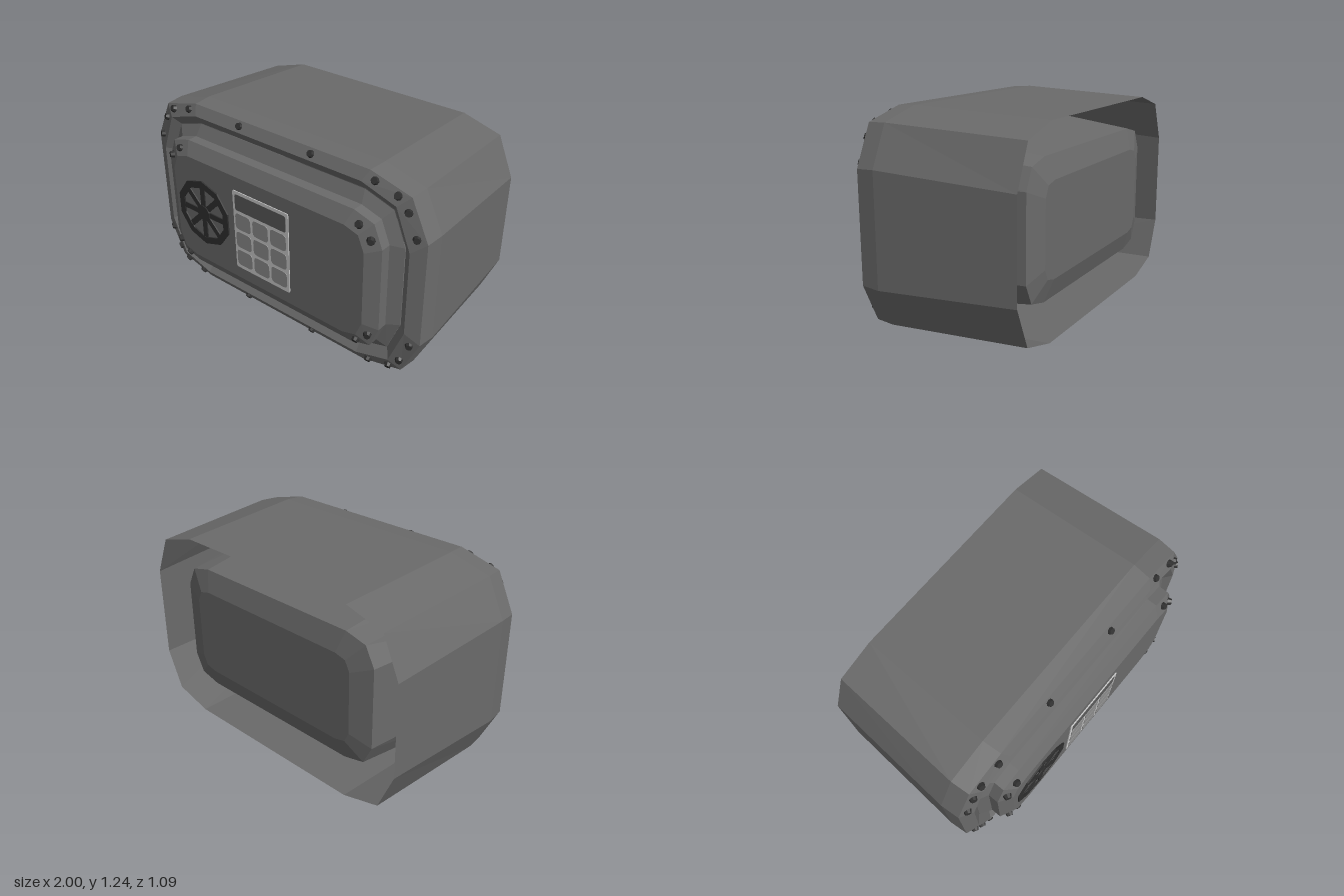
import * as THREE from 'three';

const CY = 0.624; // height of the centre line

const mat = (color, side = THREE.FrontSide) =>
  new THREE.MeshStandardMaterial({ color, flatShading: true, side });
const bodyMat = mat(0x6a6a6a, THREE.DoubleSide);
const darkMat = mat(0x303030);
const frameMat = mat(0xcccccc);
const keyMat = mat(0x8c8c8c);
const screenMat = mat(0x5a5a5a);

// Twelve-sided rounded rectangle: half sizes, corner cuts, depth
function loop([hx, hy, cx, cy, z]) {
  const q = [[hx, hy - cy], [hx - 0.3 * cx, hy - 0.22 * cy], [hx - cx, hy]];
  const r = [...q].reverse();
  return [
    ...q,
    ...r.map(([x, y]) => [-x, y]),
    ...q.map(([x, y]) => [-x, -y]),
    ...r.map(([x, y]) => [x, -y]),
  ].map(([x, y]) => [x, y + CY, z]);
}

// Skin through loops, optionally closed by a flat cap at the first or last one
function loft(sections, cap) {
  const loops = sections.map(loop);
  const pos = [];
  const tri = (a, b, c) => pos.push(...a, ...b, ...c);
  for (let k = 0; k < loops.length - 1; k++) {
    const a = loops[k], b = loops[k + 1];
    for (let i = 0; i < a.length; i++) {
      const j = (i + 1) % a.length;
      tri(a[i], a[j], b[j]);
      tri(a[i], b[j], b[i]);
    }
  }
  if (cap) {
    const l = cap === 'start' ? loops[0] : loops[loops.length - 1];
    const c = [0, CY, l[0][2]];
    l.forEach((p, i) => {
      const n = l[(i + 1) % l.length];
      if (cap === 'start') tri(c, n, p);
      else tri(c, p, n);
    });
  }
  const g = new THREE.BufferGeometry();
  g.setAttribute('position', new THREE.Float32BufferAttribute(pos, 3));
  g.computeVertexNormals();
  return g;
}

function add(parent, name, geometry, material, x = 0, y = 0, z = 0) {
  const m = new THREE.Mesh(geometry, material);
  m.name = name;
  m.position.set(x, y, z);
  parent.add(m);
  return m;
}

function roundedRect(w, h, r) {
  const s = new THREE.Shape();
  const x = w / 2, y = h / 2;
  s.moveTo(-x + r, -y);
  s.lineTo(x - r, -y).quadraticCurveTo(x, -y, x, -y + r);
  s.lineTo(x, y - r).quadraticCurveTo(x, y, x - r, y);
  s.lineTo(-x + r, y).quadraticCurveTo(-x, y, -x, y - r);
  s.lineTo(-x, -y + r).quadraticCurveTo(-x, -y, -x + r, -y);
  return s;
}

const extrude = (shape, depth) =>
  new THREE.ExtrudeGeometry(shape, { depth, bevelEnabled: false, curveSegments: 3 });

// Short domed bolts, mirrored into four quadrants and leaning outwards
function addBolts(parent, name, spots, z) {
  const geo = new THREE.CylinderGeometry(0.018, 0.025, 0.024, 8).rotateX(Math.PI / 2);
  for (const [x, y, nx, ny] of spots)
    for (const sx of [1, -1])
      for (const sy of [1, -1]) {
        const b = add(parent, name, geo, darkMat, x * sx, CY + y * sy, z);
        b.quaternion.setFromUnitVectors(
          new THREE.Vector3(0, 0, 1),
          new THREE.Vector3(nx * sx, ny * sy, 1).normalize());
      }
}

export function createModel() {
  const safe = new THREE.Group();
  safe.name = 'safe';

  // Outer shell, open at the back, with the front rim turned into the doorway
  add(safe, 'outerShell', loft([
    [0.95, 0.59, 0.34, 0.305, -0.54],
    [1.0, 0.62, 0.36, 0.295, 0.28],
    [0.99, 0.614, 0.36, 0.295, 0.392],
    [0.91, 0.555, 0.31, 0.30, 0.428],
    [0.86, 0.495, 0.26, 0.25, 0.385],
  ]), bodyMat);

  // Inner compartment, seen through the open back
  add(safe, 'innerCompartment', loft([
    [0.61, 0.27, 0.1, 0.08, -0.51],
    [0.74, 0.395, 0.19, 0.15, -0.47],
    [0.86, 0.495, 0.26, 0.25, 0.385],
  ], 'start'), bodyMat);

  // Door with a sloping flange and bevelled front
  const door = new THREE.Group();
  door.name = 'door';
  safe.add(door);
  add(door, 'doorPanel', loft([
    [0.86, 0.495, 0.26, 0.25, 0.39],
    [0.79, 0.425, 0.18, 0.17, 0.428],
    [0.79, 0.425, 0.18, 0.17, 0.49],
    [0.71, 0.345, 0.13, 0.12, 0.535],
  ], 'end'), bodyMat);

  // Bolts on the rim and on the door bevel: x, y, lean x, lean y
  addBolts(safe, 'rimBolt', [
    [0.26, 0.588, 0, 0.6],
    [0.673, 0.576, 0.12, 0.6],
    [0.812, 0.541, 0.25, 0.55],
    [0.88, 0.47, 0.5, 0.25],
    [0.937, 0.338, 0.55, 0.1],
  ], 0.412);
  addBolts(door, 'doorBolt', [
    [0.66, 0.37, 0.1, 0.55],
    [0.738, 0.3, 0.55, 0.1],
  ], 0.518);

  // Ten-sided wheel with eight spokes
  const wheel = new THREE.Group();
  wheel.name = 'wheelHandle';
  wheel.position.set(-0.47, 0.627, 0.53);
  door.add(wheel);
  const ring = (r) => Array.from({ length: 10 }, (_, i) => {
    const a = Math.PI / 2 + (i * Math.PI) / 5;
    return new THREE.Vector2(r * Math.cos(a), r * Math.sin(a));
  });
  const rim = new THREE.Shape(ring(0.216));
  rim.holes.push(new THREE.Path(ring(0.172)));
  add(wheel, 'wheelRim', extrude(rim, 0.014), darkMat);
  for (let i = 0; i < 4; i++)
    add(wheel, 'wheelSpoke', new THREE.BoxGeometry(0.35, 0.036, 0.012), darkMat, 0, 0, 0.006)
      .rotation.z = (i * Math.PI) / 4;
  add(wheel, 'wheelHub', new THREE.CylinderGeometry(0.052, 0.052, 0.016, 10).rotateX(Math.PI / 2),
    darkMat, 0, 0, 0.008);

  // Keypad: frame, display and nine keys
  const pad = new THREE.Group();
  pad.name = 'keypad';
  pad.position.set(-0.003, 0.62, 0.53);
  door.add(pad);
  add(pad, 'keypadFrame', extrude(roundedRect(0.42, 0.524, 0.012), 0.01), frameMat);
  add(pad, 'display', extrude(roundedRect(0.385, 0.104, 0.015), 0.012), screenMat, 0, 0.19, 0);
  const key = extrude(roundedRect(0.118, 0.106, 0.025), 0.014);
  for (let r = 0; r < 3; r++)
    for (let c = 0; c < 3; c++)
      add(pad, 'key', key, keyMat, (c - 1) * 0.135, 0.067 - r * 0.125, 0);

  return safe;
}
